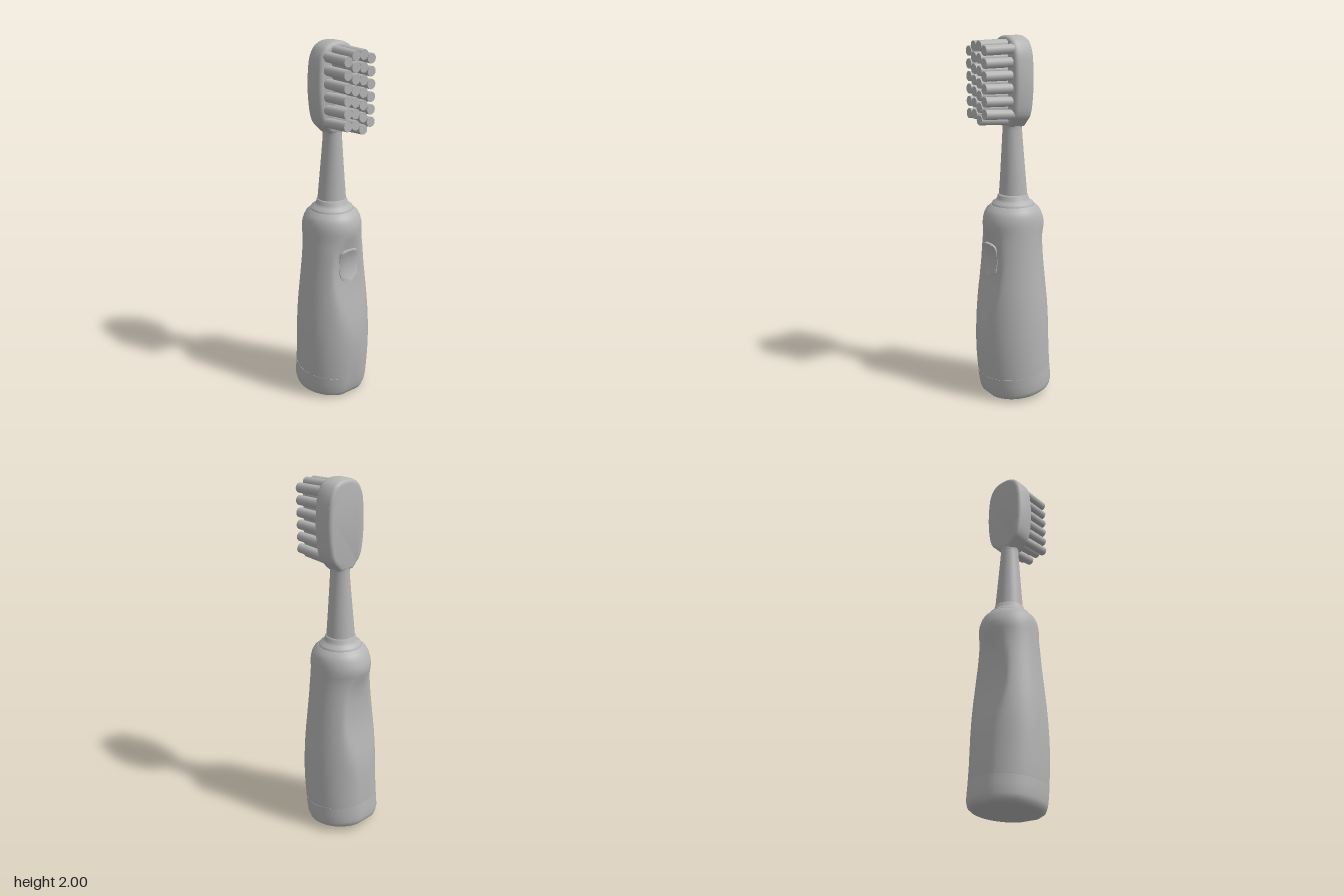
import * as THREE from 'three';
import { mergeVertices, toCreasedNormals } from 'three/addons/utils/BufferGeometryUtils.js';

const SEG = 64;

// Stacks rings [y, radius, centreX, minX, maxX, tilt]; x is flattened or stretched to fit min and max.
function loft(rows) {
  const pos = [], idx = [];
  const addRing = ([y, r, cx, lo, hi, tilt]) => {
    for (let i = 0; i < SEG; i++) {
      const a = (i / SEG) * Math.PI * 2, c = Math.cos(a);
      const reach = c > 0 ? hi - cx : cx - lo;
      const x = cx + Math.sign(c) * Math.min(Math.abs(c) * Math.max(r, reach), reach);
      pos.push(x, y - tilt * x, r * Math.sin(a));
    }
  };
  rows.forEach(addRing);
  for (let k = 0; k < rows.length - 1; k++) {
    for (let i = 0; i < SEG; i++) {
      const j = (i + 1) % SEG, p = k * SEG, q = p + SEG;
      idx.push(p + i, q + i, p + j, p + j, q + i, q + j);
    }
  }
  // flat ends with their own vertices
  [rows[0], rows[rows.length - 1]].forEach((row, end) => {
    const start = pos.length / 3;
    addRing(row);
    pos.push(row[2], row[0] - row[5] * row[2], 0);
    for (let i = 0; i < SEG; i++) {
      const a = start + i, b = start + (i + 1) % SEG;
      idx.push(start + SEG, end ? b : a, end ? a : b);
    }
  });
  const g = new THREE.BufferGeometry();
  g.setAttribute('position', new THREE.Float32BufferAttribute(pos, 3));
  g.setIndex(idx);
  g.computeVertexNormals();
  return g;
}

function smooth(g, angle) {
  g.deleteAttribute('uv');
  g.deleteAttribute('normal');
  return toCreasedNormals(mergeVertices(g, 1e-4), angle);
}

const lathe = (points) =>
  new THREE.LatheGeometry(points.map(([r, y]) => new THREE.Vector2(r, y)), 40);

export function createModel() {
  const group = new THREE.Group();
  const grey = new THREE.MeshStandardMaterial({ color: 0xb4b4b4 });
  grey.name = 'grey';
  const add = (name, geometry, parent = group) => {
    const mesh = new THREE.Mesh(geometry, grey);
    mesh.name = name;
    parent.add(mesh);
    return mesh;
  };

  // Slanted base cap
  add('baseCap', loft([
    [0.018, 0.165, -0.027, -0.185, 0.13, 0.1],
    [0.022, 0.18, -0.027, -0.2, 0.145, 0.1],
    [0.034, 0.195, -0.025, -0.213, 0.16, 0.1],
    [0.06, 0.203, -0.022, -0.219, 0.172, 0.1],
    [0.11, 0.205, -0.015, -0.214, 0.182, 0.1],
    [0.156, 0.205, -0.01, -0.208, 0.188, 0.1],
  ]));

  // Handle with thumb and palm hollows
  add('handle', loft([
    [0.15, 0.202, -0.01, -0.205, 0.185, 0.1],
    [0.16, 0.205, -0.01, -0.207, 0.189, 0.1],
    [0.25, 0.206, -0.003, -0.203, 0.2, 0.07],
    [0.34, 0.206, 0, -0.2, 0.206, 0.03],
    [0.42, 0.204, 0, -0.194, 0.202, 0],
    [0.5, 0.2, 0, -0.181, 0.188, 0],
    [0.58, 0.194, 0, -0.163, 0.172, 0],
    [0.65, 0.187, 0, -0.15, 0.157, 0],
    [0.72, 0.18, 0, -0.143, 0.145, 0],
    [0.8, 0.172, 0, -0.14, 0.136, 0],
    [0.87, 0.167, 0, -0.145, 0.138, 0],
    [0.93, 0.163, -0.002, -0.161, 0.149, 0],
    [0.97, 0.161, -0.004, -0.175, 0.16, 0],
    [1.0, 0.16, -0.005, -0.18, 0.164, 0],
    [1.03, 0.158, -0.005, -0.174, 0.162, 0],
    [1.06, 0.152, -0.005, -0.162, 0.154, 0],
    [1.085, 0.14, -0.005, -0.148, 0.14, 0],
    [1.105, 0.118, -0.005, -0.124, 0.116, 0],
  ]));

  // Power button: rounded outline, concave face
  const button = new THREE.BoxGeometry(0.05, 0.175, 0.12, 1, 28, 8);
  const p = button.attributes.position;
  for (let i = 0; i < p.count; i++) {
    const y = p.getY(i), corner = 0.032;
    const over = Math.max(0, Math.abs(y) - (0.0875 - corner));
    const half = 0.06 - corner + Math.sqrt(Math.max(0, corner * corner - over * over));
    const z = p.getZ(i) / 0.06;
    if (p.getX(i) > 0) p.setX(i, 0.026 + 0.017 * (y / 0.0875) ** 2 - 0.008 * z ** 4);
    p.setZ(i, z * half);
  }
  add('powerButton', smooth(button, 0.7)).position.set(0.121, 0.8175, 0);

  // Collar and tapered neck
  add('collar', lathe([[0.118, 1.09], [0.118, 1.105], [0.112, 1.117], [0.095, 1.127],
    [0.086, 1.14], [0.083, 1.155], [0.076, 1.164], [0, 1.165]])).position.x = -0.005;
  add('neck', loft([
    [1.15, 0.078, -0.006, -0.082, 0.07, 0],
    [1.25, 0.07, -0.005, -0.075, 0.065, 0],
    [1.4, 0.057, -0.002, -0.063, 0.058, 0],
    [1.51, 0.048, 0, -0.055, 0.053, 0],
    [1.54, 0.051, 0, -0.056, 0.053, 0],
    [1.57, 0.058, 0, -0.055, 0.052, 0],
  ]));

  // Brush head
  const side = [[0.045, 1.53], [0.068, 1.553], [0.1, 1.59], [0.117, 1.65], [0.126, 1.75],
    [0.123, 1.85], [0.112, 1.92], [0.085, 1.97], [0.045, 1.994]];
  const outline = [...side, [0, 2], ...side.map(([z, y]) => [-z, y]).reverse()];
  const shape = new THREE.Shape();
  shape.moveTo(...outline[0]);
  shape.splineThru(outline.slice(1).map(([z, y]) => new THREE.Vector2(z, y)));
  shape.closePath();
  const head = new THREE.ExtrudeGeometry(shape, {
    depth: 0.068, bevelThickness: 0.025, bevelSize: 0.022, bevelOffset: -0.022,
    bevelSegments: 4, curveSegments: 40,
  });
  head.rotateY(Math.PI / 2);
  add('brushHead', smooth(head, 0.7)).position.x = -0.035;

  // Bristle tufts in four staggered columns: [z, top y, count, spacing]
  const bristles = new THREE.Group();
  bristles.name = 'bristles';
  group.add(bristles);
  const tuft = new THREE.CylinderGeometry(0.026, 0.026, 0.18, 14);
  tuft.rotateZ(-Math.PI / 2);
  [[0.074, 1.925, 6, 0.065], [0.025, 1.952, 7, 0.0585],
    [-0.025, 1.953, 7, 0.0635], [-0.074, 1.93, 6, 0.065]].forEach(([z, top, n, step]) => {
    for (let i = 0; i < n; i++) {
      const y = top - i * step;
      const mesh = add('tuft', tuft, bristles);
      mesh.position.set(0.129, y, z);
      mesh.rotation.z = (1.8 - y) * 0.25;
    }
  });
  return group;
}
